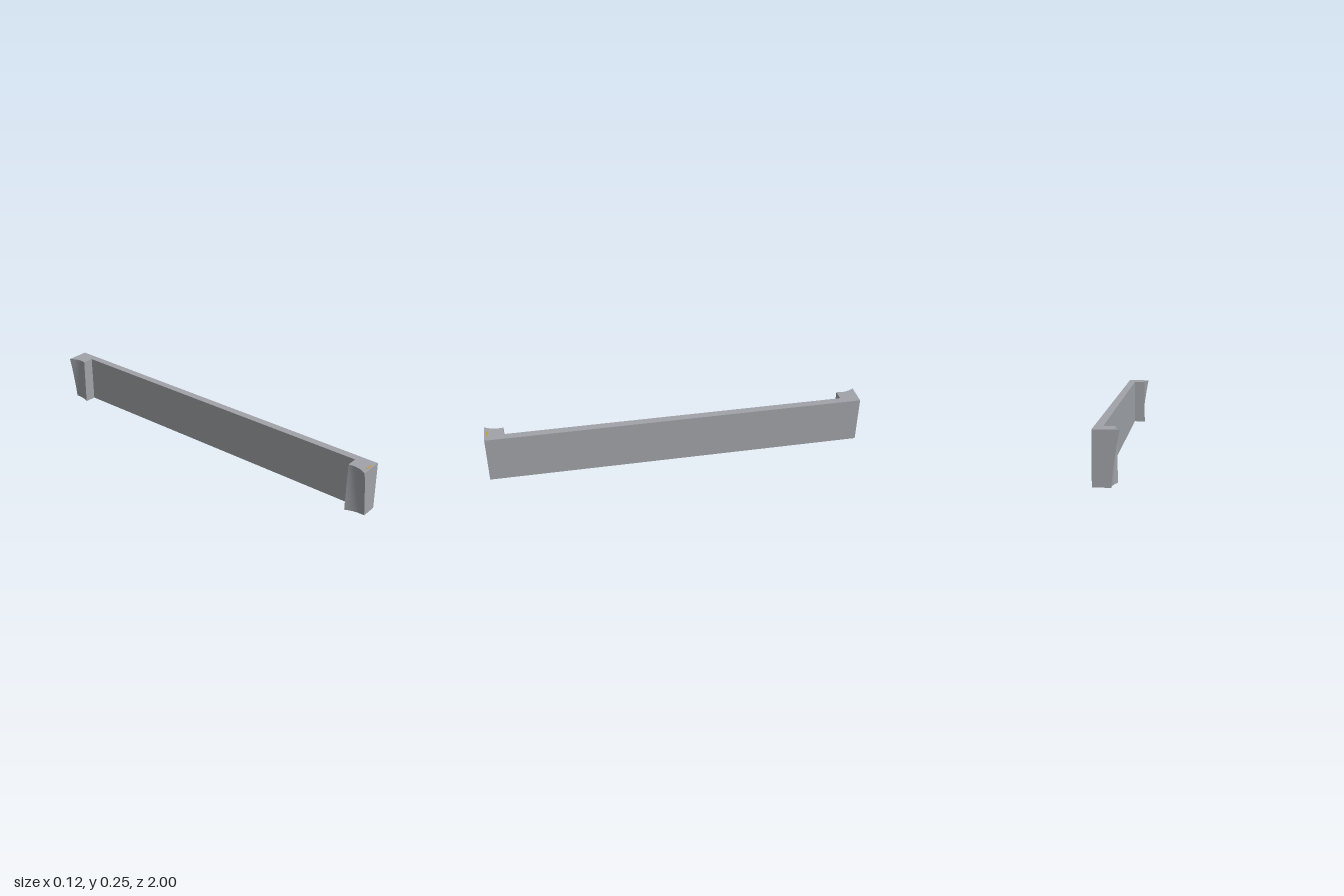
import * as THREE from 'three';

const HEIGHT = 0.253;
const RIGHT = 0.06;

// Box whose -x side is moved onto a twisted, hollow surface
function endBlock(side) {
  const geo = new THREE.BoxGeometry(0.1, HEIGHT, 0.1, 1, 12, 12);
  geo.translate(0.01, HEIGHT / 2, side * 0.95);
  const p = geo.attributes.position;
  for (let i = 0; i < p.count; i++) {
    if (p.getX(i) > 0) continue;
    const t = p.getY(i) / HEIGHT;
    const u = (1 - Math.abs(p.getZ(i))) / 0.1;
    const outer = THREE.MathUtils.lerp(-0.024, -0.06, t) + 0.012 * t * (1 - t);
    const inner = THREE.MathUtils.lerp(-0.043, -0.04, t);
    const hollow = THREE.MathUtils.lerp(0.0075, 0.012, t);
    p.setX(i, THREE.MathUtils.lerp(outer, inner, u) + hollow * 4 * u * (1 - u));
  }
  geo.computeVertexNormals();
  return geo;
}

export function createModel() {
  const group = new THREE.Group();
  const grey = new THREE.MeshStandardMaterial({ name: 'grey', color: 0xa0a3a8 });
  const orange = new THREE.MeshStandardMaterial({ name: 'orange', color: 0xc89a45 });

  const add = (name, geo, mat, x = 0, y = 0, z = 0) => {
    const mesh = new THREE.Mesh(geo, mat);
    mesh.name = name;
    mesh.position.set(x, y, z);
    group.add(mesh);
    return mesh;
  };

  // Long flat panel
  add('panel', new THREE.BoxGeometry(0.04, HEIGHT, 1.8), grey, RIGHT - 0.02, HEIGHT / 2, 0);

  // Hollowed blocks at both ends
  add('frontEndBlock', endBlock(1), grey);
  add('backEndBlock', endBlock(-1), grey);

  // Tiny marks: on top of the front block and under the back block
  add('topMark', new THREE.BoxGeometry(0.045, 0.001, 0.008), orange, 0.004, HEIGHT, 0.987);
  add('bottomMark', new THREE.BoxGeometry(0.004, 0.001, 0.03), orange, -0.023, 0.0004, -0.95);

  return group;
}
